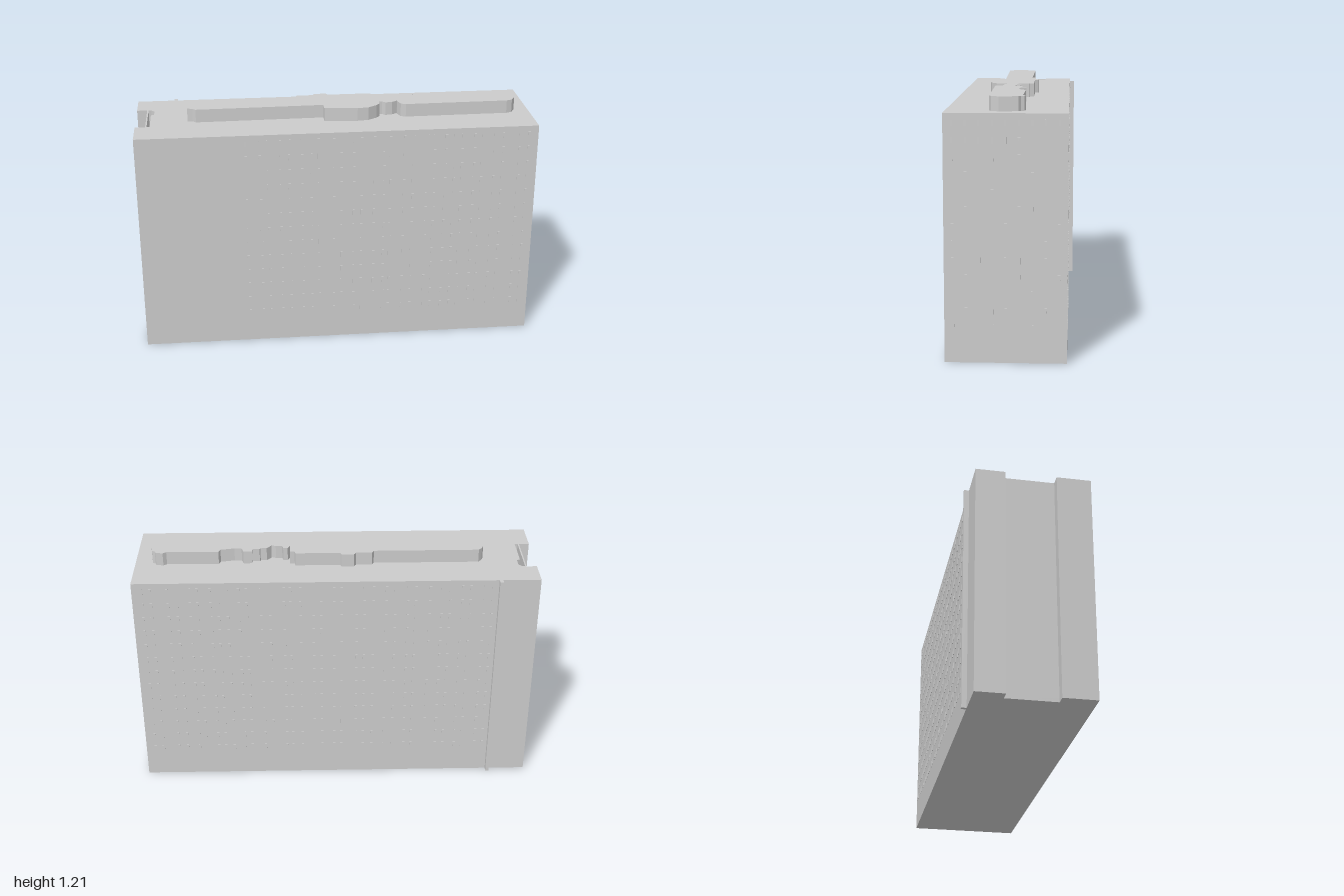
import * as THREE from 'three';
import { mergeGeometries } from 'three/addons/utils/BufferGeometryUtils.js';

const HEIGHT = 1.143, ROOF_TOP = 1.21;
const HALF_LENGTH = 1.0015, HALF_WIDTH = 0.2795;

export function createModel() {
  const model = new THREE.Group();
  model.name = 'apartmentBlock';
  const building = new THREE.Group();
  building.name = 'building';
  building.rotation.y = 1.0134; // long axis stands diagonally on the plot
  model.add(building);

  const material = new THREE.MeshStandardMaterial({ color: 0xcccccc, flatShading: true });

  const add = (name, geometry) => {
    const mesh = new THREE.Mesh(geometry, material);
    mesh.name = name;
    building.add(mesh);
    return mesh;
  };
  const points = (plan) => plan.map(([s, t]) => new THREE.Vector2(s, -t));

  // Extrudes a plan of [along, across] points from y0 up to y1
  const prism = (plan, y0, y1, hole) => {
    const shape = new THREE.Shape(points(plan));
    if (hole) shape.holes.push(new THREE.Path(points(hole)));
    const geometry = new THREE.ExtrudeGeometry(shape, { depth: y1 - y0, bevelEnabled: false });
    return geometry.rotateX(-Math.PI / 2).translate(0, y0, 0);
  };
  const box = (w, h, d, x, y, z) => new THREE.BoxGeometry(w, h, d).translate(x, y, z);

  // Main body with a recess in the near end and a narrow shaft behind it
  const L = HALF_LENGTH, W = HALF_WIDTH;
  add('mainBody', prism(
    [[L, -W], [L, W], [-L, W], [-L, 0.112], [-0.95, 0.112], [-0.95, -0.137], [-L, -0.137], [-L, -W]],
    0, HEIGHT,
    [[-0.943, -0.134], [-0.943, 0.109], [-0.928, 0.109], [-0.928, -0.06],
      [-0.912, -0.07], [-0.912, -0.115], [-0.928, -0.134]],
  ));
  add('shaftFloor', box(0.05, 0.02, 0.25, -0.925, 0.01, -0.0125));

  // Slim full-height pipe on the rear long wall
  add('wallPipe', box(0.018, HEIGHT, 0.03, -0.805, HEIGHT / 2, -0.289));

  // Stepped rooftop structures
  add('longPenthouse', prism([
    [-0.733, -0.061], [-0.715, -0.081], [-0.19, -0.081], [-0.18, -0.1], [-0.1, -0.1],
    [-0.09, -0.118], [-0.03, -0.118], [-0.02, -0.1], [0.2, -0.1], [0.205, -0.08], [0.228, -0.08],
    [0.228, 0.064], [0.21, 0.085], [0.166, 0.115], [0.11, 0.122], [-0.057, 0.106], [-0.057, 0.056],
    [-0.699, 0.066], [-0.715, 0.05], [-0.741, 0.045], [-0.741, -0.04],
  ], HEIGHT, ROOF_TOP));
  add('shortPenthouse', prism([
    [0.322, -0.012], [0.345, -0.04], [0.376, -0.04], [0.38, -0.05], [0.416, -0.05], [0.416, -0.072],
    [0.46, -0.072], [0.47, -0.042], [0.506, -0.039], [0.575, -0.052], [0.584, -0.075],
    [0.843, -0.072], [0.86, -0.085], [0.895, -0.08], [0.9, -0.065], [0.915, -0.055], [0.929, 0.034],
    [0.909, 0.069], [0.88, 0.08], [0.36, 0.085], [0.335, 0.075], [0.322, 0.035],
  ], HEIGHT, ROOF_TOP));
  add('penthouseLink', prism([
    [0.226, -0.012], [0.24, -0.04], [0.262, -0.04], [0.268, -0.018], [0.3, -0.018], [0.325, -0.005],
    [0.325, 0.025], [0.295, 0.045], [0.26, 0.05], [0.245, 0.035], [0.226, 0.035],
  ], HEIGHT, ROOF_TOP));

  // Narrow windows, thirteen floors on three walls
  const columns = [
    -0.461, -0.391, -0.353, -0.29, -0.246, -0.183, -0.138, -0.1, -0.025, 0.013, 0.076, 0.114,
    0.178, 0.228, 0.259, 0.329, 0.373, 0.443, 0.481, 0.537, 0.582, 0.62, 0.683, 0.721,
    0.784, 0.828, 0.911, 0.954,
  ];
  const rearColumns = [-0.77, -0.73, -0.66, -0.62, -0.56, -0.52, ...columns];
  const front = [], rear = [], end = [];
  for (let floor = 0; floor < 13; floor++) {
    const y = 0.165 + floor * 0.0779;
    for (const s of columns) front.push(box(0.012, 0.03, 0.006, s, y, W));
    for (const s of rearColumns) rear.push(box(0.012, 0.03, 0.006, s, y, -W));
    for (let i = 0; i < 9; i++) end.push(box(0.004, 0.03, 0.012, L, y, -0.24 + i * 0.06));
  }
  add('frontWindows', mergeGeometries(front));
  add('rearWindows', mergeGeometries(rear));
  add('endWindows', mergeGeometries(end));

  return model;
}
